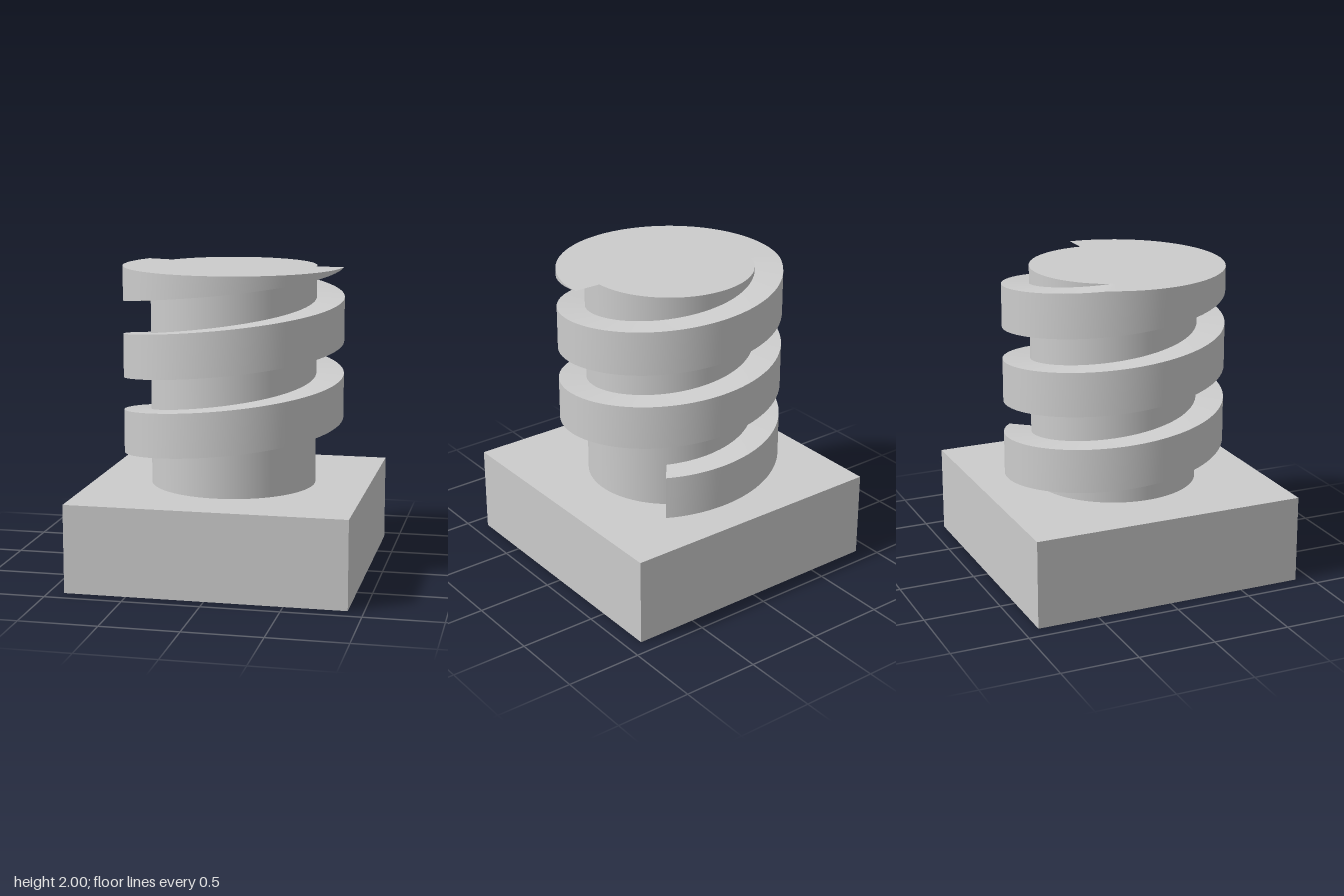
import * as THREE from 'three';
import { toCreasedNormals } from 'three/addons/utils/BufferGeometryUtils.js';

const TOP = 2, BASE_TOP = 0.571;
const CORE_R = 0.54, THREAD_R = 0.72;
const PITCH = 0.5, THREAD_H = 0.286;

// Square-section helical ridge, rising counter-clockwise and cut flat at the top
function threadGeometry() {
  const turns = (TOP - BASE_TOP) / PITCH;
  const cutTurn = turns - THREAD_H / PITCH; // where the upper face meets the cut
  const start = Math.PI / 2 - turns * Math.PI * 2; // the ridge runs out at +x
  const inner = CORE_R - 0.008; // sunk slightly into the core

  // Parameters along the helix, with one section exactly at the cut
  const params = [];
  const lower = 220, upper = 56;
  for (let i = 0; i < lower; i++) params.push((cutTurn * i) / lower);
  for (let i = 0; i <= upper; i++) params.push(cutTurn + ((turns - cutTurn) * i) / upper);

  const positions = [];
  for (const t of params) {
    const a = start + t * Math.PI * 2;
    const y0 = BASE_TOP + PITCH * t;
    const y1 = Math.min(TOP, y0 + THREAD_H);
    for (const [r, y] of [[inner, y0], [THREAD_R, y0], [THREAD_R, y1], [inner, y1]]) {
      positions.push(r * Math.sin(a), y, r * Math.cos(a));
    }
  }

  // Underside, outer wall and upper face, plus the blunt starting end
  const index = [0, 1, 2, 0, 2, 3];
  for (let i = 0; i < params.length - 1; i++) {
    for (let k = 0; k < 3; k++) {
      const a = i * 4 + k, b = a + 4;
      index.push(a, b, b + 1, a, b + 1, a + 1);
    }
  }
  const geometry = new THREE.BufferGeometry();
  geometry.setAttribute('position', new THREE.Float32BufferAttribute(positions, 3));
  geometry.setIndex(index);
  return toCreasedNormals(geometry, 0.6);
}

export function createModel() {
  const group = new THREE.Group();
  group.name = 'threadedPost';
  const grey = new THREE.MeshStandardMaterial({ color: 0xcccccc });
  grey.name = 'light grey';

  const add = (name, geometry, y = 0) => {
    const mesh = new THREE.Mesh(geometry, grey);
    mesh.name = name;
    mesh.position.y = y;
    group.add(mesh);
  };

  // Square block at the foot
  add('base', new THREE.BoxGeometry(1.8, BASE_TOP, 1.8), BASE_TOP / 2);
  // Round shaft
  add('core', new THREE.CylinderGeometry(CORE_R, CORE_R, TOP - BASE_TOP, 96), (TOP + BASE_TOP) / 2);
  // Screw thread around the shaft
  add('thread', threadGeometry());

  return group;
}
